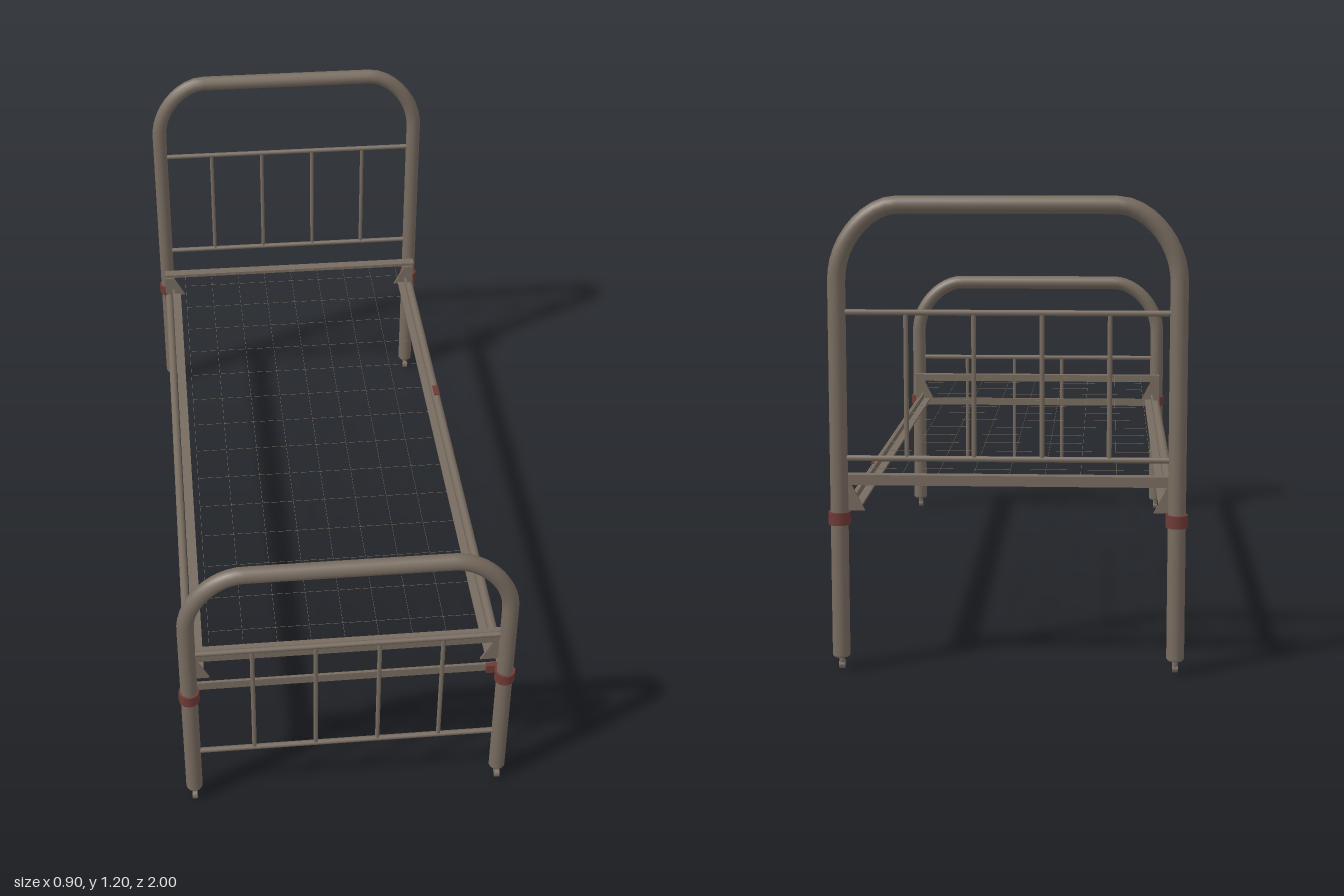
import * as THREE from 'three';

const metal = new THREE.MeshStandardMaterial({ color: 0x786c60 });
metal.name = 'brownMetal';
const red = new THREE.MeshStandardMaterial({ color: 0x6f3a35 });
red.name = 'rustRed';

const POST_X = 0.422, POST_Z = 0.972, TUBE_R = 0.0225;

function add(parent, name, geometry, material, x = 0, y = 0, z = 0) {
  const mesh = new THREE.Mesh(geometry, material);
  mesh.name = name;
  mesh.position.set(x, y, z);
  parent.add(mesh);
  return mesh;
}
const box = (w, h, d) => new THREE.BoxGeometry(w, h, d);

// One bent tube: leg, rounded corner, top rail, corner, leg
function hoopGeometry(top, shoulder) {
  const v = (x, y) => new THREE.Vector3(x, y, 0);
  const inner = 0.27, k = 0.45;
  const dx = (POST_X - inner) * k, dy = (top - shoulder) * k;
  const path = new THREE.CurvePath();
  path.add(new THREE.LineCurve3(v(-POST_X, 0.04), v(-POST_X, shoulder)));
  path.add(new THREE.CubicBezierCurve3(v(-POST_X, shoulder), v(-POST_X, top - dy), v(-inner - dx, top), v(-inner, top)));
  path.add(new THREE.LineCurve3(v(-inner, top), v(inner, top)));
  path.add(new THREE.CubicBezierCurve3(v(inner, top), v(inner + dx, top), v(POST_X, top - dy), v(POST_X, shoulder)));
  path.add(new THREE.LineCurve3(v(POST_X, shoulder), v(POST_X, 0.04)));
  return new THREE.TubeGeometry(path, 110, TUBE_R, 12, false);
}

// Head or foot panel: hoop, two cross bars, four spindles, clamps, casters
function endPanel(name, side, top, shoulder, barLow, barHigh) {
  const panel = new THREE.Group();
  panel.name = name;
  panel.position.z = side * POST_Z;
  add(panel, 'hoop', hoopGeometry(top, shoulder), metal);

  for (const y of [barLow, barHigh]) {
    const bar = add(panel, 'crossBar', new THREE.CylinderGeometry(0.0075, 0.0075, POST_X * 2, 8), metal, 0, y, 0);
    bar.rotation.z = Math.PI / 2;
  }
  for (const x of [-0.253, -0.086, 0.083, 0.251]) {
    add(panel, 'spindle', new THREE.CylinderGeometry(0.006, 0.006, barHigh - barLow, 8), metal, x, (barLow + barHigh) / 2, 0);
  }

  for (const s of [-1, 1]) {
    const x = s * POST_X;
    add(panel, 'clamp', new THREE.CylinderGeometry(0.028, 0.028, 0.032, 12), red, x, 0.394, 0);
    // Strap along the outside of the side rail
    add(panel, 'clampStrap', box(0.004, 0.026, 0.03), red, s * 0.432, 0.394, -side * 0.034);
    // Leg plug, caster stem and wheel
    add(panel, 'legPlug', new THREE.CylinderGeometry(0.022, 0.02, 0.006, 12), metal, x, 0.039, 0);
    add(panel, 'casterStem', new THREE.CylinderGeometry(0.007, 0.007, 0.022, 8), metal, x, 0.029, 0.003);
    const wheel = add(panel, 'casterWheel', new THREE.CylinderGeometry(0.012, 0.012, 0.014, 12), metal, x, 0.012, 0.01);
    wheel.rotation.z = Math.PI / 2;
  }
  return panel;
}

// Triangular plate that lifts the spring support above the side rail
function bracketGeometry(s) {
  const shape = new THREE.Shape();
  shape.moveTo(s * 0.43, 0.4);
  shape.lineTo(s * 0.365, 0.4);
  shape.lineTo(s * 0.4, 0.468);
  shape.lineTo(s * 0.43, 0.468);
  shape.closePath();
  return new THREE.ExtrudeGeometry(shape, { depth: 0.006, bevelEnabled: false });
}

export function createModel() {
  const bed = new THREE.Group();
  bed.name = 'metalBed';

  bed.add(endPanel('headboard', -1, 1.177, 0.99, 0.546, 0.912));
  bed.add(endPanel('footboard', 1, 0.813, 0.64, 0.178, 0.546));

  // Side rails: outer tube with an inner angle bar above it
  for (const s of [-1, 1]) {
    const rail = new THREE.Group();
    rail.name = s > 0 ? 'leftRail' : 'rightRail';
    const tube = add(rail, 'railTube', new THREE.CylinderGeometry(0.012, 0.012, 1.9, 10), metal, s * 0.42, 0.392, 0);
    tube.rotation.x = Math.PI / 2;
    add(rail, 'railAngleTop', box(0.025, 0.006, 1.83), metal, s * 0.392, 0.403, 0);
    add(rail, 'railAngleSide', box(0.006, 0.024, 1.83), metal, s * 0.404, 0.412, 0);
    bed.add(rail);
  }
  // Rust patch on the left rail and clamp tab at its foot end
  add(bed, 'rustPatch', box(0.02, 0.003, 0.05), red, 0.42, 0.404, -0.28);
  add(bed, 'clampTab', box(0.06, 0.026, 0.014), red, 0.406, 0.394, 0.945);

  // Raised angle bars at both ends with their corner brackets
  for (const e of [-1, 1]) {
    const support = new THREE.Group();
    support.name = e > 0 ? 'footSupport' : 'headSupport';
    add(support, 'supportTop', box(0.86, 0.005, 0.03), metal, 0, 0.491, e * 0.909);
    add(support, 'supportFace', box(0.86, 0.026, 0.005), metal, 0, 0.48, e * 0.921);
    for (const s of [-1, 1]) {
      add(support, 'bracket', bracketGeometry(s), metal, 0, 0, e * 0.915 - 0.003);
    }
    bed.add(support);
  }
  add(bed, 'footTieBar', box(0.82, 0.024, 0.008), metal, 0, 0.392, 0.937);

  // Fine wire spring mesh
  const springs = new THREE.Group();
  springs.name = 'springMesh';
  const W = 0.0007;
  for (let i = -4; i <= 4; i++) {
    add(springs, 'longWire', box(W, W, 1.81), metal, i * 0.0905, 0.492, 0);
  }
  for (let i = -7; i <= 6; i++) {
    add(springs, 'crossWire', box(0.724, W, W), metal, 0, 0.492, 0.07 + i * 0.128);
  }
  bed.add(springs);
  return bed;
}
